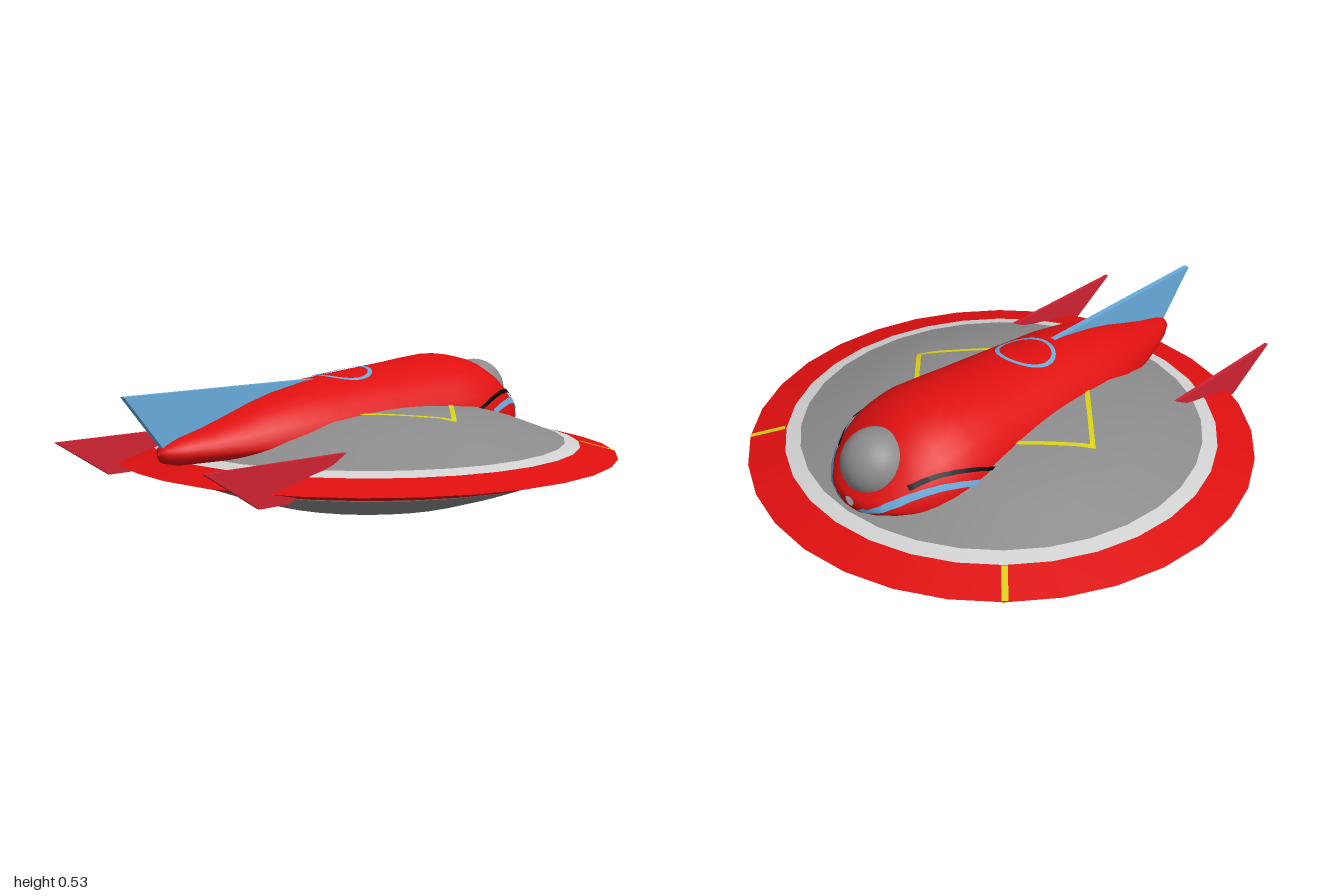
import * as THREE from 'three';

const mat = (name, color, side = THREE.FrontSide) => {
  const m = new THREE.MeshStandardMaterial({ color, side });
  m.name = name;
  return m;
};
const CX = 0.07, MID = 0.28; // saucer centre in x, height of the fuselage's widest line

// saucer underside profile [radius, y]; the upper side mirrors it about y = 0.19
const HULL = [[0, 0], [0.2, 0.003], [0.41, 0.03], [0.57, 0.08], [0.73, 0.14], [0.785, 0.154], [0.92, 0.19]];
// fuselage stations [x, half width, height above the widest line]
const BODY = [
  [-0.865, 0.005, 0.005], [-0.85, 0.035, 0.025], [-0.8, 0.066, 0.046], [-0.7, 0.108, 0.072],
  [-0.6, 0.145, 0.104], [-0.5, 0.175, 0.138], [-0.4, 0.203, 0.165], [-0.25, 0.226, 0.193],
  [0, 0.25, 0.215], [0.2, 0.268, 0.231], [0.3, 0.278, 0.241], [0.42, 0.288, 0.25], [0.5, 0.28, 0.24],
  [0.56, 0.268, 0.225], [0.62, 0.244, 0.195], [0.67, 0.215, 0.15], [0.72, 0.175, 0.095],
  [0.76, 0.125, 0.052], [0.782, 0.075, 0.03], [0.79, 0.02, 0.015]];

// linear lookup of one column in a table sorted by its first column
function lookup(table, x, col) {
  const i = Math.max(1, table.findIndex((r) => r[0] >= x));
  const [a, b] = [table[i - 1], table[i]];
  return THREE.MathUtils.lerp(a[col], b[col], THREE.MathUtils.clamp((x - a[0]) / (b[0] - a[0]), 0, 1));
}
const depth = (h) => Math.min(0.045, h * 1.3);

// points on the painted surfaces, lifted slightly
function onHull(x, z, top) {
  const y = lookup(HULL, Math.min(0.919, Math.hypot(x - CX, z)), 1);
  return [x, top ? 0.38 - y + 0.003 : y - 0.003, z];
}
function onBodyTop(x, z) {
  const w = lookup(BODY, x, 1), h = lookup(BODY, x, 2);
  return [x, MID + h * Math.sqrt(1 - (z / w) ** 2) + 0.005, z];
}
function onBodySide(x, y, side) {
  const w = lookup(BODY, x, 1), h = lookup(BODY, x, 2), d = y - MID;
  const t = Math.min(0.98, Math.abs(d) / (d > 0 ? h : depth(h)));
  return [x + 0.002, y + 0.002, side * (w * Math.sqrt(1 - t * t) + 0.005)];
}

// surface through rows of points
function skin(rows, wrap = false) {
  const n = rows[0].length, index = [];
  for (let i = 0; i < rows.length - 1; i++)
    for (let j = 0; j < (wrap ? n : n - 1); j++) {
      const a = i * n + j, b = i * n + (j + 1) % n, c = a + n, d = b + n;
      index.push(a, b, c, b, d, c);
    }
  const g = new THREE.BufferGeometry();
  g.setAttribute('position', new THREE.Float32BufferAttribute(rows.flat(2), 3));
  g.setIndex(index);
  g.computeVertexNormals();
  return g;
}
const range = (n, f) => Array.from({ length: n + 1 }, (_, i) => f(i / n));

export function createModel() {
  const group = new THREE.Group();
  group.name = 'flyingSaucer';
  const D = THREE.DoubleSide;
  const red = mat('red', 0xdf0f0f), grey = mat('grey', 0x8c8c8c), pale = mat('paleGrey', 0xd2d2d2);
  const yellow = mat('yellow', 0xd9d010, D), sky = mat('skyBlue', 0x67aadb, D);
  const black = mat('black', 0x060606, D), crimson = mat('crimson', 0xd02232), blue = mat('deepBlue', 0x1022dd);
  const add = (name, geo, m, x = 0, y = 0, z = 0) => {
    const mesh = new THREE.Mesh(geo, m);
    mesh.name = name;
    mesh.position.set(x, y, z);
    group.add(mesh);
    return mesh;
  };

  // saucer: grey shells, pale bands and the red rim
  const upper = HULL.map(([r, y]) => [r, 0.38 - y]).reverse();
  const lathe = (pts) => new THREE.LatheGeometry(pts.map((p) => new THREE.Vector2(...p)), 32);
  add('lowerHull', lathe(HULL.slice(0, 5)), grey, CX);
  add('lowerBand', lathe(HULL.slice(4, 6)), pale, CX);
  add('lowerRim', lathe(HULL.slice(5)), red, CX);
  add('upperRim', lathe(upper.slice(0, 2)), red, CX);
  add('upperBand', lathe(upper.slice(1, 3)), pale, CX);
  add('upperHull', lathe(upper.slice(2)), grey, CX);

  // fuselage lofted along x
  const rings = BODY.map(([x, w, h]) => range(27, (t) => {
    const a = t * 27 / 28 * Math.PI * 2, c = Math.cos(a);
    return [x, MID + c * (c > 0 ? h : depth(h)), w * Math.sin(a)];
  }));
  add('fuselage', skin(rings, true), red);
  add('canopy', new THREE.SphereGeometry(0.12, 32, 20), grey, 0.667, 0.372, 0);

  // yellow diamond on the upper hull
  for (let k = 0; k < 4; k++) {
    const a = k * Math.PI / 2, b = a + Math.PI / 2;
    const at = (t, r) => onHull(CX + r * THREE.MathUtils.lerp(Math.cos(a), Math.cos(b), t),
      r * THREE.MathUtils.lerp(Math.sin(a), Math.sin(b), t), true);
    add('diamondStripe', skin(range(24, (t) => [at(t, 0.425), at(t, 0.45)])), yellow);
  }
  // yellow rim marks, above and below
  for (const s of [1, -1])
    for (const top of [true, false]) {
      const at = (t, o) => {
        const r = 0.79 + 0.128 * t, a = s * Math.PI / 4;
        return onHull(CX + r * Math.cos(a) - o * Math.sin(a), r * Math.sin(a) + o * Math.cos(a), top);
      };
      add('rimMark', skin(range(6, (t) => [at(t, -0.011), at(t, 0.011)])), yellow);
    }
  // black rings under the hull: one whole, one broken
  const arc = (name, r0, r1, a0, a1) => {
    const at = (a, r) => onHull(CX + r * Math.cos(a), r * Math.sin(a), false);
    add(name, skin(range(32, (t) => {
      const a = a0 + (a1 - a0) * t;
      return [at(a, r0), at(a, r1)];
    })), black);
  };
  arc('outerBellyRing', 0.305, 0.34, 0, Math.PI * 2);
  for (let k = 0; k < 8; k++) arc('innerBellyArc', 0.24, 0.252, k * Math.PI / 4, k * Math.PI / 4 + 0.6);

  // blue ring on the fuselage back
  add('backRing', skin(range(40, (t) => [0.094, 0.11].map((r) =>
    onBodyTop(-0.055 + r * Math.cos(t * Math.PI * 2), r * Math.sin(t * Math.PI * 2))))), sky);

  // nose stripes on both flanks
  const stripe = (name, pts, half, m) => {
    const curve = new THREE.CatmullRomCurve3(pts.map(([x, y]) => new THREE.Vector3(x, y, 0)));
    for (const s of [1, -1])
      add(name, skin(range(40, (t) => {
        const p = curve.getPoint(t);
        return [-half, 0, half].map((o) => onBodySide(p.x, p.y + o, s));
      })), m);
  };
  stripe('blueNoseStripe', [[0.46, 0.322], [0.53, 0.342], [0.6, 0.35], [0.67, 0.338], [0.73, 0.31], [0.765, 0.285], [0.785, 0.262]], 0.011, sky);
  stripe('blackNoseStripe', [[0.36, 0.328], [0.45, 0.365], [0.55, 0.387], [0.62, 0.383], [0.68, 0.36]], 0.007, black);

  // fins cut from flat outlines
  const fin = (name, pts, thick, m, z) => {
    const g = new THREE.ExtrudeGeometry(new THREE.Shape(pts.map((p) => new THREE.Vector2(...p))),
      { depth: thick, bevelEnabled: false });
    add(name, g.translate(0, 0, -thick / 2), m, 0, 0, z);
  };
  fin('tailFin', [[-1, 0.477], [-0.84, 0.28], [-0.2, 0.477]], 0.022, sky, 0);
  for (const s of [1, -1]) {
    fin('sideFin', [[-1, 0.285], [-0.79, 0.15], [-0.67, 0.15], [-0.425, 0.285]], 0.014, crimson, s * 0.413);
    // tapered pods under the hull, wide end forward
    const pod = new THREE.ConeGeometry(0.029, 0.27, 20).rotateZ(Math.PI / 2 + 0.06);
    add('bellyPod', pod, s > 0 ? crimson : blue, 0.335, 0.037, s * 0.34);
  }
  return group;
}
